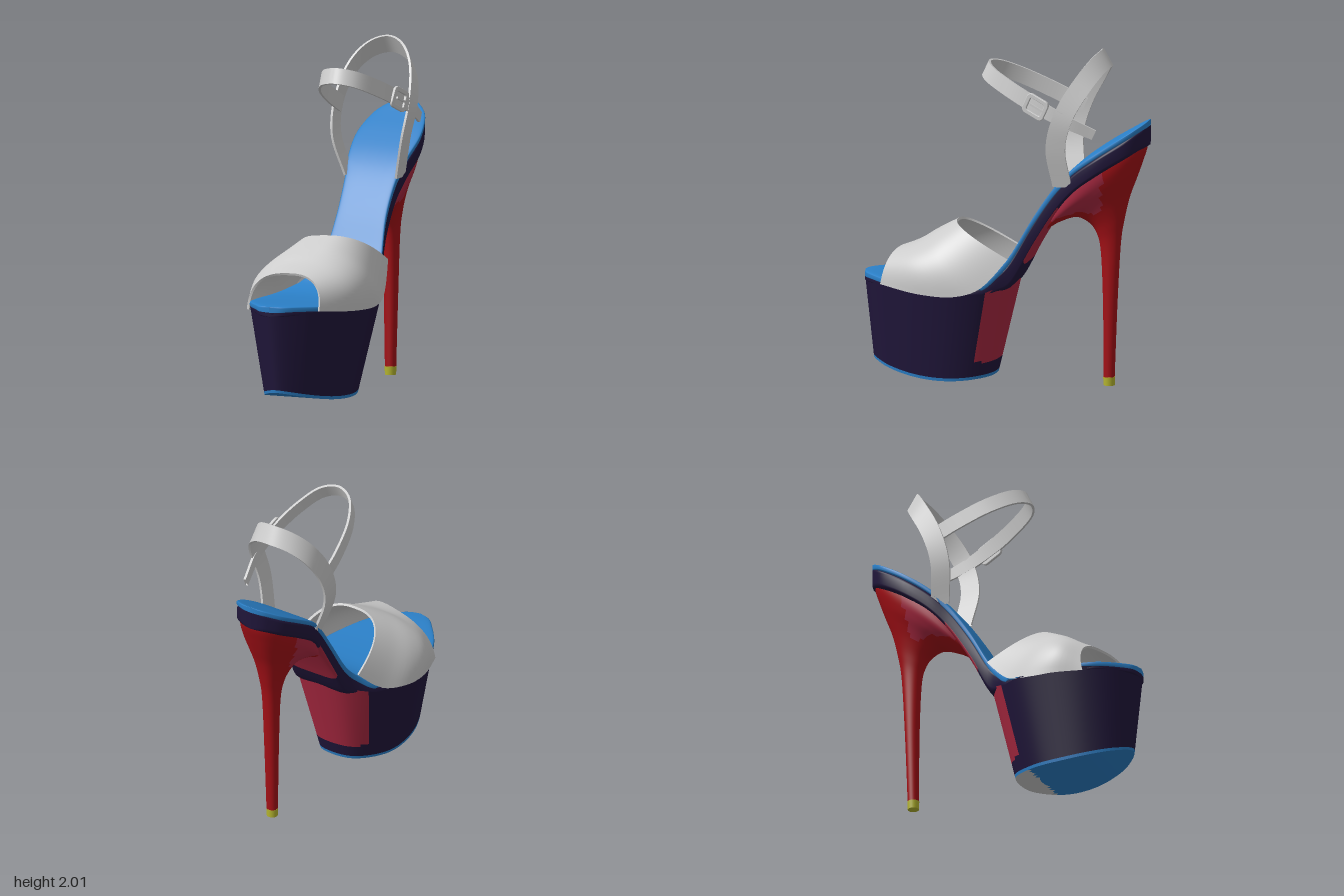
import * as THREE from 'three';
import { toCreasedNormals } from 'three/addons/utils/BufferGeometryUtils.js';

const mat = (color) => new THREE.MeshStandardMaterial({ color, side: THREE.DoubleSide });
const grey = mat(0xcccccc), blue = mat(0x2b80c8), dark = mat(0x20163a);
const red = mat(0xa31016), crimson = mat(0xa82840), yellow = mat(0xb5b52f);
const V = (x, y, z) => new THREE.Vector3(x, y, z);
const sp = (v, e) => Math.sign(v) * Math.abs(v) ** e;

// Smooth interpolation through rows of numbers, t = 0..1
function spline(rows) {
  const n = rows.length - 1;
  return (t) => {
    const i = Math.min(Math.floor(t * n), n - 1), f = t * n - i;
    const at = (k) => rows[Math.min(Math.max(k, 0), n)];
    return rows[0].map((_, c) => {
      const a = at(i - 1)[c], b = at(i)[c], d = at(i + 1)[c], e = at(i + 2)[c];
      return b + 0.5 * f * (d - a + f * (2 * a - 5 * b + 4 * d - e + f * (3 * (b - d) + e - a)));
    });
  };
}

// Grid surface from a point rule; pick(i, j, corner) chooses the material of each quad
function grid(name, nu, nv, wrapU, wrapV, point, pick) {
  const cu = wrapU ? nu : nu + 1, cv = wrapV ? nv : nv + 1, pts = [];
  for (let j = 0; j < cv; j++) for (let i = 0; i < cu; i++) pts.push(point(i, j));
  const base = new THREE.BufferGeometry().setFromPoints(pts);
  const all = [], byMat = new Map();
  for (let j = 0; j < nv; j++) for (let i = 0; i < nu; i++) {
    const id = (a, b) => (b % cv) * cu + (a % cu);
    const a = id(i, j), b = id(i + 1, j), c = id(i + 1, j + 1), d = id(i, j + 1);
    const m = pick(i, j, pts[a]);
    if (!byMat.has(m)) byMat.set(m, []);
    byMat.get(m).push(a, b, d, b, c, d);
    all.push(a, b, d, b, c, d);
  }
  base.setIndex(all);
  base.computeVertexNormals();
  const g = new THREE.Group();
  g.name = name;
  for (const [m, idx] of byMat) {
    const part = base.clone();
    part.setIndex(idx);
    const mesh = new THREE.Mesh(part, m);
    mesh.name = name + 'Panel';
    g.add(mesh);
  }
  return g;
}

// Thin leather sheet with thickness, from a surface rule f(u, v)
function sheet(name, f, nu, nv, th) {
  const e = 0.004;
  const point = (i, k) => {
    const inner = k > nv, u = i / nu, v = (inner ? 2 * nv + 1 - k : k) / nv;
    const p = f(u, v);
    if (!inner) return p;
    const du = f(Math.min(u + e, 1), v).sub(f(Math.max(u - e, 0), v));
    const dv = f(u, Math.min(v + e, 1)).sub(f(u, Math.max(v - e, 0)));
    return p.addScaledVector(du.cross(dv).normalize(), -th);
  };
  const g = grid(name, nu, 2 * nv + 2, false, true, point, () => grey);
  g.children[0].geometry = toCreasedNormals(g.children[0].geometry, 0.8);
  return g;
}

// Foot outline stations, toe to heel: z, left edge, right edge, top y, body depth
const foot = spline([
  [0.866, -0.05, -0.05, 0.597, 0.06], [0.85, -0.12, 0.02, 0.598, 0.06], [0.8, -0.17, 0.085, 0.6, 0.06],
  [0.7, -0.25, 0.175, 0.596, 0.06], [0.6, -0.295, 0.235, 0.59, 0.06], [0.42, -0.33, 0.305, 0.58, 0.06],
  [0.22, -0.31, 0.33, 0.585, 0.06], [0.08, -0.235, 0.295, 0.63, 0.1], [0, -0.175, 0.265, 0.7, 0.14],
  [-0.08, -0.135, 0.235, 0.8, 0.2], [-0.2, -0.115, 0.205, 1.01, 0.19], [-0.33, -0.125, 0.205, 1.2, 0.17],
  [-0.45, -0.155, 0.225, 1.325, 0.155], [-0.6, -0.17, 0.24, 1.435, 0.15], [-0.75, -0.135, 0.2, 1.53, 0.15],
  [-0.83, -0.07, 0.13, 1.58, 0.15], [-0.86, -0.02, 0.08, 1.597, 0.15], [-0.87, 0.03, 0.03, 1.603, 0.15],
]);

// Slab following the foot outline
function footLayer(name, depths, scale, pick) {
  const nu = 40, nv = 85;
  return grid(name, nu, nv, true, false, (i, j) => {
    const [z, l, r, y, d] = foot(j / nv), a = (i / nu) * Math.PI * 2;
    const [d0, d1] = depths(z, d);
    return V((l + r) / 2 - scale * (r - l) / 2 * sp(Math.cos(a), 0.4),
      y - (d0 + d1) / 2 + (d1 - d0) / 2 * sp(Math.sin(a), 0.35), z);
  }, (i, j, p) => pick(i / nu, p));
}

// Strap along a path, with a width direction and half width by rule
function strap(name, points, across, th) {
  const path = new THREE.CatmullRomCurve3(points);
  return sheet(name, (u, v) => {
    const p = path.getPoint(u);
    return p.clone().addScaledVector(across(p, u), v * 2 - 1);
  }, 64, 2, th);
}

export function createModel() {
  const model = new THREE.Group();

  // Footbed and the wrapped shank below it
  model.add(footLayer('footbed', (z) => [0, z < 0.1 && z > -0.4 ? 0.06 : 0.04], 1, () => blue));
  model.add(footLayer('shank', (z, d) => [0.025, d], 0.985,
    (u, p) => (u > 0.54 && u < 0.96 && p.z < -0.13 && p.z > -0.34 ? crimson : dark)));

  // Platform, tapering to the ground
  const ring = new THREE.CatmullRomCurve3([
    [0.05, -0.09], [0.2, -0.06], [0.29, 0.06], [0.33, 0.22], [0.305, 0.42], [0.235, 0.6], [0.13, 0.755],
    [-0.05, 0.866], [-0.2, 0.765], [-0.295, 0.6], [-0.33, 0.42], [-0.31, 0.22], [-0.225, 0.06], [-0.1, -0.06],
  ].map(([x, z]) => V(x, 0, z)), true).getPoints(112);
  const groundY = (z) => (z > 0.35 ? 0.01 + 0.07 * ((z - 0.35) / 0.45) ** 2 : 0.01 + 0.03 * ((0.35 - z) / 0.3) ** 2);
  const bottom = ring.map((p) => {
    const z = 0.05 + (p.z + 0.09) * 0.795;
    return V(p.x * 0.68, groundY(z), z);
  });
  model.add(grid('platform', 112, 30, true, false, (i, j) => {
    const top = ring[i].clone();
    top.y = 0.56 + Math.max(0, 0.08 - top.z) * 0.4;
    return top.lerp(bottom[i], j / 30);
  }, (i, j, p) => (j > 28 ? blue : ring[i].z < 0.05 && p.y > 0.14 ? crimson : dark)));

  // Outsole
  model.add(grid('outsole', 112, 12, true, false, (i, j) => {
    const p = bottom[i].clone().lerp(V(-0.01, 0, 0.42), j / 12);
    p.y = groundY(p.z);
    return p;
  }, (i, j, p) => (p.z < 0.2 ? grey : blue)));

  // Heel rings, top to tip: front z, y, back z, y, half width, upward bulge
  const heel = spline([
    [-0.26, 1.0, -0.84, 1.5, 0.17, 0.12], [-0.24, 0.915, -0.85, 1.44, 0.175, 0.05],
    [-0.33, 0.965, -0.82, 1.34, 0.155, 0.02], [-0.43, 1.0, -0.785, 1.24, 0.12, 0],
    [-0.505, 0.97, -0.745, 1.13, 0.09, 0], [-0.55, 0.91, -0.715, 1.0, 0.065, 0],
    [-0.575, 0.8, -0.692, 0.85, 0.05, 0], [-0.588, 0.5, -0.672, 0.5, 0.042, 0], [-0.592, 0.05, -0.655, 0.05, 0.033, 0],
  ]);
  model.add(grid('heel', 48, 48, true, false, (i, j) => {
    const [fz, fy, bz, by, w, bulge] = heel(j / 48), a = (i / 48) * Math.PI * 2;
    const s = (1 + Math.cos(a)) / 2;
    return V(0.035 + w * sp(Math.sin(a), 0.8), fy + (by - fy) * s + bulge * Math.sin(Math.PI * s), fz + (bz - fz) * s);
  }, (i, j) => {
    const k = Math.min(i, 47 - i);
    return j < 22 && k > 8 + j * 0.2 && k < 19 - j * 0.15 ? crimson : red;
  }));
  const tip = new THREE.Mesh(new THREE.CylinderGeometry(0.035, 0.033, 0.05, 24), yellow);
  tip.name = 'heelTip';
  tip.position.set(0.035, 0.025, -0.623);
  model.add(tip);

  // Toe band: right base, crown and left base curves, rear to front
  const rightBase = spline([[0.265, 0.77, -0.07], [0.312, 0.6, 0.08], [0.335, 0.545, 0.24], [0.305, 0.545, 0.46], [0.19, 0.565, 0.71]]);
  const crown = spline([[0.03, 0.935, 0.28], [0.015, 0.89, 0.36], [0, 0.84, 0.44], [-0.025, 0.79, 0.52], [-0.05, 0.75, 0.61]]);
  const leftBase = spline([[-0.19, 0.74, -0.05], [-0.26, 0.59, 0.1], [-0.325, 0.54, 0.27], [-0.342, 0.53, 0.43], [-0.305, 0.53, 0.6]]);
  model.add(sheet('toeBand', (u, v) => {
    const r = V(...rightBase(v)), l = V(...leftBase(v)), c = V(...crown(v)), a = u * Math.PI;
    const mid = r.clone().add(l).multiplyScalar(0.5);
    return mid.clone().addScaledVector(r.sub(mid), sp(Math.cos(a), 0.75))
      .addScaledVector(c.sub(mid), Math.max(Math.sin(a), 0) ** 0.75);
  }, 56, 20, -0.014));

  // Rear loop rising from both sides of the footbed
  const loop = [
    [0.2, 1.21, -0.385], [0.25, 1.45, -0.355], [0.27, 1.65, -0.41], [0.225, 1.83, -0.51], [0.14, 1.925, -0.575], [0.04, 1.955, -0.605],
    [-0.06, 1.925, -0.575], [-0.145, 1.83, -0.51], [-0.19, 1.65, -0.41], [-0.185, 1.45, -0.355], [-0.115, 1.21, -0.385],
  ].map((p) => V(...p));
  model.add(strap('rearLoop', loop, (p) => {
    const a = 1.05 * Math.max(0, (p.y - 1.45) / 0.5) ** 1.3;
    return V(0, -Math.sin(a), -Math.cos(a)).multiplyScalar(0.058);
  }, 0.014));

  // Ankle strap with a free tail on the left
  const ankle = [
    [-0.195, -0.42], [-0.19, -0.25], [-0.15, -0.05], [-0.07, 0.08], [0.03, 0.12],
    [0.13, 0.08], [0.21, -0.05], [0.265, -0.22], [0.283, -0.4], [0.25, -0.585],
  ].map(([x, z]) => V(x, 1.81 + 0.464 * z, z));
  model.add(strap('ankleStrap', ankle,
    (p, u) => V(0, 0.907, -0.42).multiplyScalar(u > 0.75 ? 0.048 - (u - 0.75) * 0.07 : 0.048), 0.014));

  // Buckle: rounded frame and prong
  const rounded = (shape, w, h, r) => {
    for (const [x, y, a] of [[w - r, h - r, 0], [r - w, h - r, 1], [r - w, r - h, 2], [w - r, r - h, 3]])
      shape.absarc(x, y, r, a * Math.PI / 2, (a + 1) * Math.PI / 2, false);
    shape.closePath();
    return shape;
  };
  const frame = rounded(new THREE.Shape(), 0.07, 0.06, 0.025);
  frame.holes.push(rounded(new THREE.Path(), 0.052, 0.042, 0.015));
  const buckle = new THREE.Group();
  buckle.name = 'buckle';
  const rim = new THREE.Mesh(new THREE.ExtrudeGeometry(frame, {
    depth: 0.01, bevelSize: 0.004, bevelThickness: 0.004, bevelSegments: 2, curveSegments: 6,
  }), grey);
  rim.name = 'buckleFrame';
  const prong = new THREE.Mesh(new THREE.BoxGeometry(0.09, 0.012, 0.012), grey);
  prong.name = 'buckleProng';
  prong.position.set(0.012, 0, 0.01);
  buckle.add(rim, prong);
  buckle.rotation.set(0, Math.PI / 2 - 0.2, -0.434, 'YXZ');
  buckle.position.set(0.268, 1.695, -0.24);
  model.add(buckle);

  return model;
}
